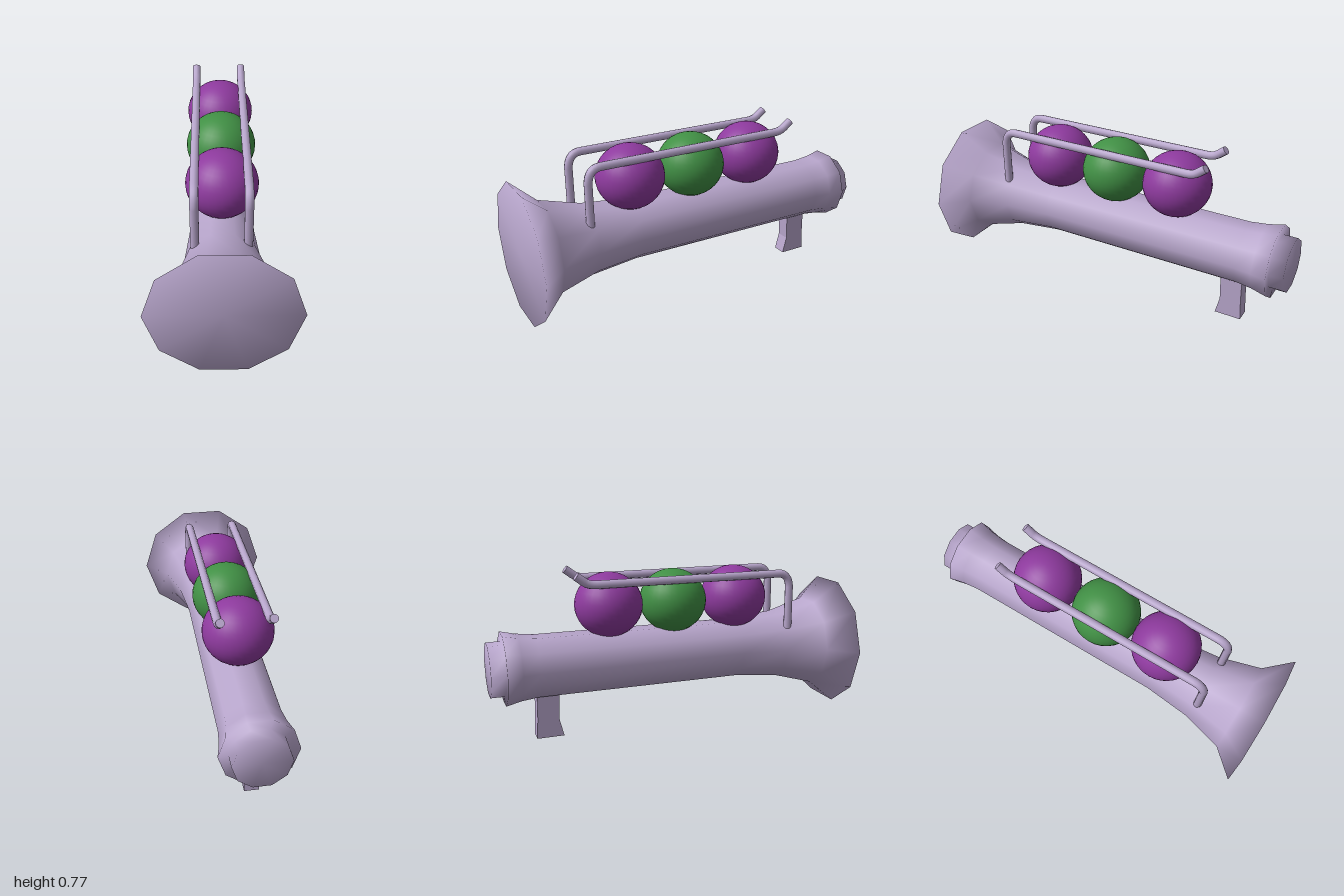
import * as THREE from 'three';
import { mergeGeometries } from 'three/addons/utils/BufferGeometryUtils.js';

const V = (x, y, z) => new THREE.Vector3(x, y, z);

export function createModel() {
  const model = new THREE.Group();
  const lilac = new THREE.MeshStandardMaterial({ color: 0xb8a6cc });
  const purple = new THREE.MeshStandardMaterial({ color: 0x8e3a9e });
  const green = new THREE.MeshStandardMaterial({ color: 0x419045 });
  const CX = -0.678, CY = 0.338;

  const add = (name, geometry, material, x = 0, y = 0, z = 0) => {
    const mesh = new THREE.Mesh(geometry, material);
    mesh.name = name;
    mesh.position.set(x, y, z);
    model.add(mesh);
    return mesh;
  };

  // Ten-sided flared barrel with rear plug: [radius, z] from back to front
  const profile = [
    [0, -0.855], [0.124, -0.855], [0.124, -0.79], [0.168, -0.79], [0.152, -0.72], [0.143, -0.64],
    [0.142, 0.33], [0.164, 0.55], [0.217, 0.74], [0.322, 0.855], [0, 0.855],
  ].map(([r, z]) => new THREE.Vector2(r, z));
  const barrel = new THREE.LatheGeometry(profile, 10, Math.PI / 2);
  barrel.rotateX(Math.PI / 2);
  add('barrel', barrel, lilac, CX, CY, 0);

  // Handle: side outline (z, y) extruded across x
  const outline = new THREE.Shape([
    [-0.655, 0], [-0.53, 0], [-0.55, 0.08], [-0.545, 0.23], [-0.648, 0.23], [-0.65, 0.1],
  ].map(([z, y]) => new THREE.Vector2(-z, y)));
  const handle = new THREE.ExtrudeGeometry(outline, { depth: 0.066, bevelEnabled: false });
  handle.translate(0, 0, -0.033);
  handle.rotateY(Math.PI / 2);
  add('handle', handle, lilac, CX, 0, 0);

  // Row of three slightly flattened balls
  [[0.327, purple], [0.016, green], [-0.297, purple]].forEach(([z, material]) => {
    add('ball', new THREE.SphereGeometry(0.157, 32, 20), material, CX, 0.596, z).scale.y = 0.95;
  });

  // Bent guard rails on both sides of the balls
  const path = new THREE.CurvePath();
  path.add(new THREE.LineCurve3(V(0, 0.44, 0.57), V(0, 0.645, 0.57)));
  path.add(new THREE.QuadraticBezierCurve3(V(0, 0.645, 0.57), V(0, 0.71, 0.565), V(0, 0.71, 0.51)));
  path.add(new THREE.LineCurve3(V(0, 0.71, 0.51), V(0, 0.71, -0.38)));
  path.add(new THREE.QuadraticBezierCurve3(V(0, 0.71, -0.38), V(0, 0.71, -0.42), V(0, 0.728, -0.44)));
  path.add(new THREE.LineCurve3(V(0, 0.728, -0.44), V(0, 0.752, -0.472)));
  const cap = (t, sign) => {
    const disc = new THREE.CircleGeometry(0.019, 10);
    const dir = path.getTangentAt(t).multiplyScalar(sign);
    disc.applyQuaternion(new THREE.Quaternion().setFromUnitVectors(V(0, 0, 1), dir));
    const p = path.getPointAt(t);
    return disc.translate(p.x, p.y, p.z);
  };
  const rail = mergeGeometries([
    new THREE.TubeGeometry(path, 90, 0.019, 10), cap(0, -1), cap(1, 1),
  ]);
  add('rightRail', rail, lilac, -0.793, 0, 0);
  add('leftRail', rail, lilac, -0.573, 0, 0);

  return model;
}
